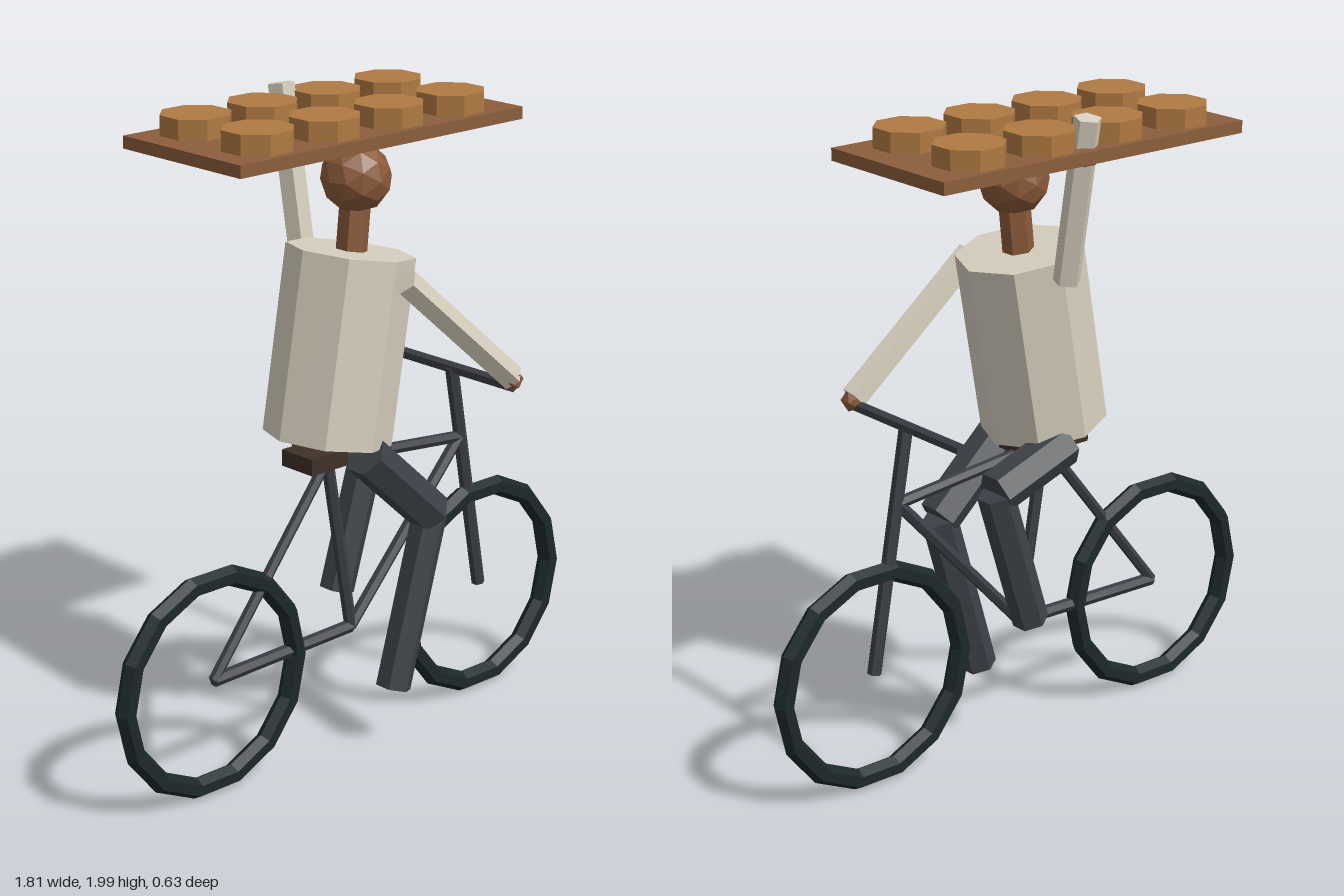
import * as THREE from 'three';

const mat = (name, color) => {
  const m = new THREE.MeshStandardMaterial({ color, flatShading: true });
  m.name = name;
  return m;
};

export function createModel() {
  const tyre = mat('tyre black', 0x1c2828);
  const metal = mat('frame grey', 0x3b3e45);
  const leather = mat('saddle brown', 0x403028);
  const trousers = mat('trouser grey', 0x3d4147);
  const shirt = mat('shirt cream', 0xd6cebd);
  const skin = mat('skin brown', 0x8b5a3a);
  const wood = mat('board brown', 0x8b5e3c);
  const crust = mat('bread brown', 0xb07a42);

  const model = new THREE.Group();
  const Z = 0.035; // centre plane of bike and rider
  const UP = new THREE.Vector3(0, 1, 0);

  const add = (parent, name, geometry, material, x = 0, y = 0, z = 0) => {
    const mesh = new THREE.Mesh(geometry, material);
    mesh.name = name;
    mesh.position.set(x, y, z);
    parent.add(mesh);
    return mesh;
  };
  // straight prism running from point a to point b
  const rod = (parent, name, a, b, radius, sides, material) => {
    const p = new THREE.Vector3(...a), q = new THREE.Vector3(...b);
    const dir = q.clone().sub(p);
    const geometry = new THREE.CylinderGeometry(radius, radius, dir.length(), sides);
    const mesh = add(parent, name, geometry, material);
    mesh.position.copy(p).add(q).multiplyScalar(0.5);
    mesh.quaternion.setFromUnitVectors(UP, dir.normalize());
    return mesh;
  };
  const group = (name) => {
    const g = new THREE.Group();
    g.name = name;
    model.add(g);
    return g;
  };

  // bicycle
  const bike = group('bicycle');
  for (const [name, x] of [['rearWheel', -0.553], ['frontWheel', 0.55]])
    add(bike, name, new THREE.TorusGeometry(0.323, 0.032, 6, 14), tyre, x, 0.352, Z);

  const rear = [-0.55, 0.357, Z], crank = [-0.005, 0.37, Z], seat = [-0.1, 0.925, Z];
  const head = [0.453, 0.868, Z], front = [0.55, 0.357, Z], stem = [0.417, 1.1, Z];
  const tubes = [
    ['chainStay', rear, crank, 0.02], ['seatStay', rear, seat, 0.017],
    ['seatTube', crank, seat, 0.019], ['topTube', seat, head, 0.018],
    ['downTube', crank, head, 0.019], ['forkAndStem', front, stem, 0.021],
    ['handlebar', [0.42, 1.097, Z - 0.255], [0.42, 1.097, Z + 0.255], 0.019],
  ];
  for (const [name, a, b, r] of tubes) rod(bike, name, a, b, r, 6, metal);
  add(bike, 'saddle', new THREE.BoxGeometry(0.24, 0.05, 0.13), leather, -0.1, 0.945, Z);

  // rider: body and head
  const rider = group('rider');
  rod(rider, 'torso', [-0.1, 0.995, Z], [-0.005, 1.545, Z], 0.19, 8, shirt);
  rod(rider, 'neck', [-0.005, 1.52, Z], [0.014, 1.7, Z], 0.047, 6, skin);
  add(rider, 'head', new THREE.IcosahedronGeometry(0.105, 1), skin, 0.015, 1.758, Z);

  // arms: one on the handlebar, one raised to the board
  rod(rider, 'leftArm', [0.01, 1.49, 0.243], [0.425, 1.12, 0.275], 0.041, 5, shirt);
  add(rider, 'leftHand', new THREE.IcosahedronGeometry(0.038, 0), skin, 0.425, 1.115, 0.276);
  rod(rider, 'rightArm', [0, 1.988, -0.268], [0, 1.495, -0.182], 0.041, 5, shirt);
  add(rider, 'rightHand', new THREE.IcosahedronGeometry(0.036, 0), skin, 0, 1.882, -0.272);

  // legs: thigh and shin
  const legs = [
    ['left', 0.165, [0.2, 0.72], [0.05, 0.193]],
    ['right', -0.095, [0.195, 0.873], [0.06, 0.432]],
  ];
  for (const [side, z, knee, ankle] of legs) {
    rod(rider, side + 'Thigh', [-0.07, 0.967, z], [...knee, z], 0.067, 6, trousers);
    rod(rider, side + 'Shin', [...knee, z], [...ankle, z], 0.055, 6, trousers);
  }

  // board of loaves on the head
  const tray = group('breadBoard');
  add(tray, 'board', new THREE.BoxGeometry(1.1, 0.037, 0.5), wood, 0, 1.888, -0.068);
  const loaf = new THREE.CylinderGeometry(0.106, 0.106, 0.06, 8).rotateY(Math.PI / 8);
  for (let i = 0; i < 4; i++)
    for (const z of [-0.2, 0.062])
      add(tray, 'loaf', loaf, crust, -0.382 + i * 0.25, 1.936, z);

  return model;
}
